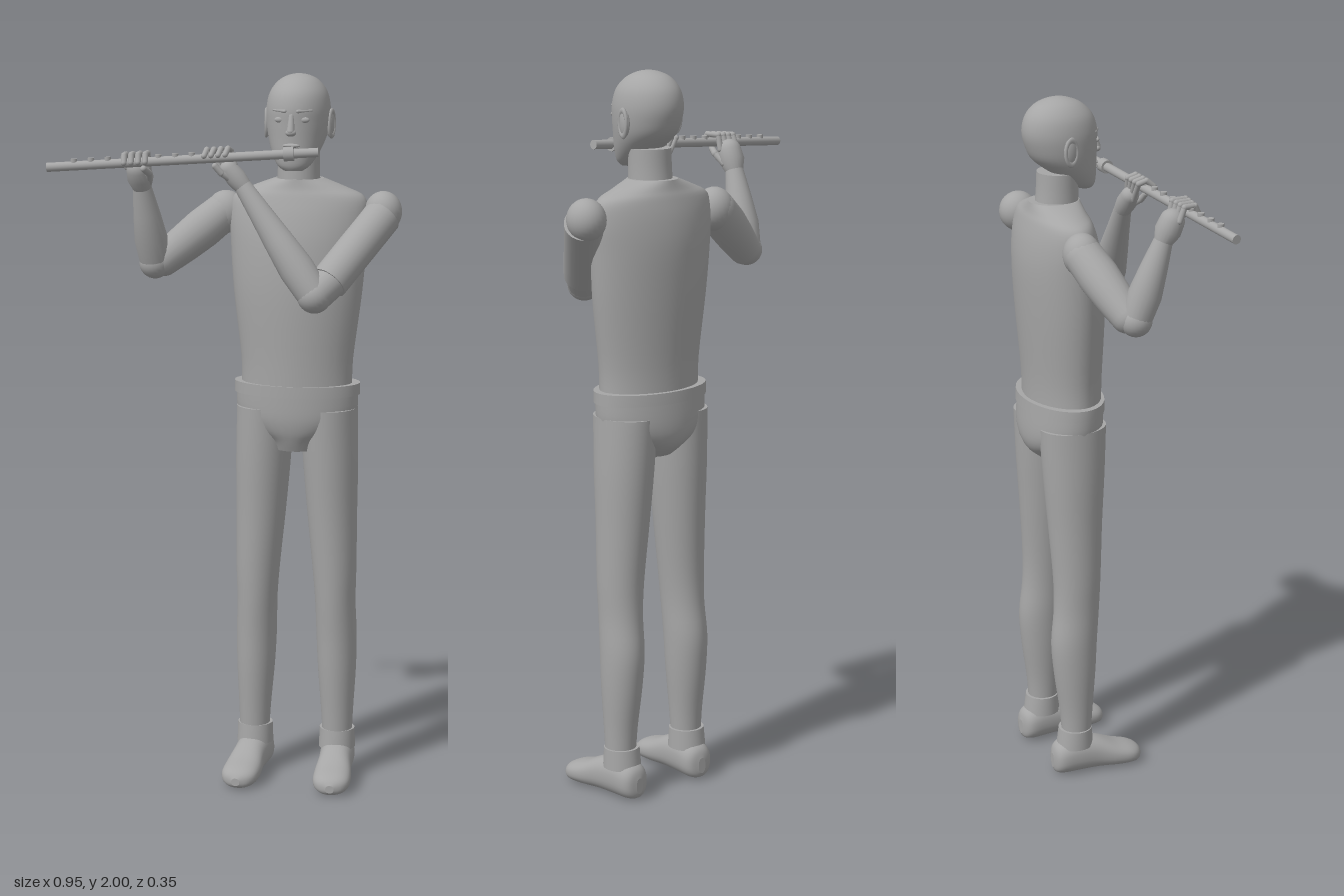
import * as THREE from 'three';

const V = (x, y, z) => new THREE.Vector3(x, y, z);
const UP = V(0, 1, 0);
const CX = 0.185; // body midline

// Smooth skin over horizontal sections [y, halfWidth, zFront, zBack, centreX]; p = 2 gives ellipses
function loft(rows, { seg = 36, sub = 4, p = 2 } = {}) {
  const rings = [];
  const at = (i) => rows[Math.min(rows.length - 1, Math.max(0, i))];
  for (let i = 0; i < rows.length - 1; i++) {
    for (let k = 0; k < sub; k++) {
      const t = k / sub;
      rings.push(rows[i].map((b, n) => {
        const a = at(i - 1)[n], c = at(i + 1)[n], d = at(i + 2)[n];
        return b + 0.5 * t * (c - a + t * (2 * a - 5 * b + 4 * c - d + t * (3 * (b - c) + d - a)));
      }));
    }
  }
  rings.push(rows[rows.length - 1]);
  const pos = [], idx = [];
  const addRing = ([y, rx, zf, zb, cx]) => {
    for (let j = 0; j < seg; j++) {
      const a = (j / seg) * Math.PI * 2, c = Math.cos(a), s = Math.sin(a);
      pos.push(cx + rx * Math.sign(c) * Math.abs(c) ** (2 / p), y,
        (zf + zb) / 2 + ((zf - zb) / 2) * Math.sign(s) * Math.abs(s) ** (2 / p));
    }
  };
  rings.forEach(addRing);
  for (let i = 0; i < rings.length - 1; i++) {
    for (let j = 0; j < seg; j++) {
      const a = i * seg + j, b = i * seg + ((j + 1) % seg);
      idx.push(a, a + seg, b, b, a + seg, b + seg);
    }
  }
  [rings[0], rings[rings.length - 1]].forEach((r, top) => {
    const o = pos.length / 3;
    addRing(r);
    pos.push(r[4], r[0], (r[2] + r[3]) / 2);
    for (let j = 0; j < seg; j++) {
      const a = o + j, b = o + ((j + 1) % seg);
      idx.push(o + seg, top ? b : a, top ? a : b);
    }
  });
  const g = new THREE.BufferGeometry();
  g.setAttribute('position', new THREE.Float32BufferAttribute(pos, 3));
  g.setIndex(idx);
  g.computeVertexNormals();
  return g;
}

// Round-ended tapered limb from a to b, with radii spaced evenly along it
function limb(a, b, radii, seg = 20) {
  const len = a.distanceTo(b), pts = [], r0 = radii[0], n = radii.length - 1, r1 = radii[n];
  for (let i = 0; i < 6; i++) {
    const t = (i / 6) * Math.PI / 2;
    pts.push(new THREE.Vector2(r0 * Math.sin(t), -r0 * Math.cos(t)));
  }
  radii.forEach((r, i) => pts.push(new THREE.Vector2(r, (len * i) / n)));
  for (let i = 1; i <= 6; i++) {
    const t = (i / 6) * Math.PI / 2;
    pts.push(new THREE.Vector2(Math.max(0, r1 * Math.cos(t)), len + r1 * Math.sin(t)));
  }
  const g = new THREE.LatheGeometry(pts, seg);
  g.applyQuaternion(new THREE.Quaternion().setFromUnitVectors(UP, b.clone().sub(a).normalize()));
  return g.translate(a.x, a.y, a.z);
}

// Flat-ended cylinder between two points
function rod(a, b, r0, r1 = r0, seg = 24) {
  const g = new THREE.CylinderGeometry(r1, r0, a.distanceTo(b), seg);
  g.applyQuaternion(new THREE.Quaternion().setFromUnitVectors(UP, b.clone().sub(a).normalize()));
  const m = a.clone().lerp(b, 0.5);
  return g.translate(m.x, m.y, m.z);
}

function ball(c, rx, ry = rx, rz = rx) {
  return new THREE.SphereGeometry(1, 24, 16).scale(rx, ry, rz).translate(c.x, c.y, c.z);
}

export function createModel() {
  const model = new THREE.Group();
  const grey = new THREE.MeshStandardMaterial({ color: 0xa6a6a6 });
  grey.name = 'plain grey';
  const add = (name, geometry) => {
    const m = new THREE.Mesh(geometry, grey);
    m.name = name;
    model.add(m);
    return m;
  };
  const body = (rows) => rows.map((r) => [...r, CX]);

  // Trunk
  add('torso', loft(body([
    [1.13, 0.156, 0.053, -0.155], [1.22, 0.158, 0.055, -0.157], [1.4, 0.18, 0.06, -0.17],
    [1.53, 0.19, 0.052, -0.175], [1.61, 0.194, 0.036, -0.168], [1.665, 0.183, 0.018, -0.155],
    [1.69, 0.135, 0.008, -0.146], [1.715, 0.068, 0.003, -0.14]]), { p: 1.9 }));
  add('neck', loft(body([[1.68, 0.06, 0.002, -0.125], [1.74, 0.058, 0, -0.118], [1.795, 0.058, -0.002, -0.115]])));
  add('belt', loft(body([[1.118, 0.177, 0.057, -0.17], [1.15, 0.177, 0.057, -0.168]]), { sub: 1 }));
  add('briefs', loft(body([
    [0.962, 0.066, 0.022, -0.115], [0.99, 0.085, 0.035, -0.15], [1.02, 0.135, 0.046, -0.166],
    [1.06, 0.167, 0.053, -0.17], [1.12, 0.172, 0.055, -0.167]])));

  // Head and face
  add('head', loft(body([
    [1.742, 0.026, 0.042, 0.0], [1.757, 0.046, 0.05, -0.025], [1.79, 0.065, 0.053, -0.075],
    [1.83, 0.079, 0.054, -0.128], [1.87, 0.086, 0.055, -0.149], [1.91, 0.087, 0.055, -0.157],
    [1.95, 0.078, 0.042, -0.148], [1.98, 0.056, 0.012, -0.122], [1.995, 0.029, -0.022, -0.088],
    [2.0, 0.004, -0.05, -0.06]])));
  add('noseBridge', limb(V(CX, 1.89, 0.052), V(CX, 1.85, 0.062), [0.007, 0.011], 12));
  add('noseTip', ball(V(CX, 1.846, 0.06), 0.015, 0.01, 0.012));
  add('upperLip', ball(V(CX, 1.811, 0.052), 0.024, 0.006, 0.009));
  add('lowerLip', ball(V(CX, 1.798, 0.052), 0.02, 0.006, 0.009));
  for (const s of [-1, 1]) {
    add('eyebrow', limb(V(CX + s * 0.018, 1.903, 0.053), V(CX + s * 0.052, 1.905, 0.034), [0.005, 0.003], 10));
    add('eye', ball(V(CX + s * 0.034, 1.88, 0.044), 0.014, 0.008, 0.007));
    const ear = new THREE.Group();
    ear.name = 'ear';
    const lobe = new THREE.Mesh(ball(V(0, 0, 0), 0.011, 0.037, 0.021), grey);
    const rim = new THREE.Mesh(new THREE.TorusGeometry(0.019, 0.005, 8, 24).rotateY(Math.PI / 2).scale(1, 1.75, 1), grey);
    lobe.name = 'earShell';
    rim.name = 'earRim';
    rim.position.x = s * 0.005;
    ear.add(lobe, rim);
    ear.position.set(CX + s * 0.086, 1.865, -0.057);
    ear.rotation.y = -s * 0.2;
    model.add(ear);
  }

  // Legs and feet
  for (const s of [-1, 1]) {
    add('leg', loft([
      [0.12, 0.042, -0.022, -0.108, 0.121], [0.2, 0.046, -0.016, -0.114, 0.12], [0.32, 0.054, -0.006, -0.13, 0.118],
      [0.42, 0.057, 0, -0.137, 0.116], [0.52, 0.057, 0.008, -0.127, 0.113], [0.62, 0.062, 0.014, -0.126, 0.11],
      [0.78, 0.07, 0.022, -0.136, 0.102], [0.93, 0.077, 0.032, -0.147, 0.096], [1.08, 0.08, 0.04, -0.155, 0.09],
    ].map((r) => [...r.slice(0, 4), CX + s * r[4]])));
    add('ankleCuff', loft([[0.085, 0.052, -0.015, -0.125, CX + s * 0.12], [0.142, 0.05, -0.02, -0.117, CX + s * 0.12]], { sub: 1 }));
    // Foot sections run heel to toe; the third and fourth numbers are minus sole and minus top height
    const foot = add('foot', loft([
      [-0.074, 0.012, -0.02, -0.065, 0], [-0.066, 0.034, -0.007, -0.088, 0], [-0.045, 0.046, -0.002, -0.103, 0],
      [0, 0.048, -0.002, -0.112, 0], [0.06, 0.047, -0.002, -0.1, 0], [0.12, 0.053, 0, -0.074, 0],
      [0.165, 0.051, 0, -0.06, 0], [0.19, 0.036, -0.003, -0.048, 0], [0.202, 0.012, -0.012, -0.034, 0],
    ], { p: 2.3 }).rotateX(Math.PI / 2));
    foot.position.set(CX + s * 0.121, 0, -0.067);
    foot.rotation.y = s * 0.07;
  }

  // Right arm, stretched sideways
  const rElbow = V(-0.212, 1.475, -0.012), rWrist = V(-0.229, 1.69, 0.058);
  add('rightShoulder', ball(V(-0.025, 1.615, -0.082), 0.056, 0.06, 0.052));
  add('rightUpperArm', limb(V(-0.035, 1.612, -0.08), V(-0.19, 1.482, -0.026), [0.054, 0.057, 0.053, 0.046]));
  add('rightElbow', ball(rElbow, 0.044));
  add('rightForearm', limb(rElbow, rWrist, [0.041, 0.046, 0.037, 0.026]));

  // Left arm, folded across the chest
  const lElbow = V(0.265, 1.415, 0.125), lWrist = V(0.058, 1.702, 0.08);
  add('leftShoulder', ball(V(0.418, 1.625, -0.075), 0.052, 0.057, 0.055));
  add('leftUpperArm', rod(V(0.418, 1.615, -0.065), V(0.298, 1.448, 0.09), 0.053, 0.052));
  add('leftElbow', ball(lElbow, 0.047));
  add('leftElbowJoint', limb(V(0.3, 1.45, 0.09), lElbow, [0.047, 0.046]));
  add('leftForearm', limb(lElbow, lWrist, [0.045, 0.049, 0.041, 0.032, 0.024]));

  // Flute with keys and mouth plate
  const fluteA = V(-0.475, 1.748, 0.142), fluteB = V(0.265, 1.797, 0.08);
  const onFlute = (x) => fluteA.clone().lerp(fluteB, (x - fluteA.x) / (fluteB.x - fluteA.x));
  add('flute', rod(fluteA, fluteB, 0.0125));
  add('mouthPlate', rod(onFlute(0.172), onFlute(0.199), 0.019));
  for (const x of [-0.4, -0.353, -0.307, -0.262, -0.168, -0.122, -0.077, -0.03, 0.015]) {
    const c = onFlute(x);
    add('fluteKey', rod(c, c.clone().add(V(0, 0.019, 0)), 0.009, 0.009, 16));
  }

  // Hands: a palm, four curled fingers over the flute and a thumb below
  const finger = (name, pts, r) => {
    for (let i = 0; i < pts.length - 1; i++) add(name, limb(pts[i], pts[i + 1], [r, r * 0.92], 10));
  };
  add('rightPalm', limb(rWrist, V(-0.232, 1.742, 0.082), [0.026, 0.036, 0.034]));
  for (let i = 0; i < 4; i++) {
    const x = -0.263 + i * 0.02, c = onFlute(x), k = i * 0.003;
    finger('rightFinger', [V(x, 1.748, 0.088), V(x, c.y + 0.022, c.z - 0.022),
      V(x + 0.004, c.y + 0.022, c.z + 0.01 + k), V(x + 0.006, c.y + 0.002, c.z + 0.021 + k)], 0.0085);
  }
  finger('rightThumb', [V(-0.205, 1.71, 0.075), V(-0.198, 1.735, 0.105), V(-0.207, 1.748, 0.128)], 0.01);

  add('leftPalm', limb(lWrist, V(0.02, 1.748, 0.083), [0.024, 0.028, 0.025]));
  for (let i = 0; i < 4; i++) {
    const x = -0.036 + i * 0.019, c = onFlute(x), base = V(0.0 + i * 0.012, 1.742 + i * 0.006, 0.083);
    finger('leftFinger', [base, V(x + 0.004, c.y + 0.016, c.z - 0.022),
      V(x, c.y + 0.024, c.z), V(x - 0.004, c.y + 0.008, c.z + 0.019)], 0.008);
  }
  finger('leftThumb', [V(0.035, 1.715, 0.09), V(0.005, 1.738, 0.108), V(-0.012, 1.758, 0.114)], 0.009);

  return model;
}
